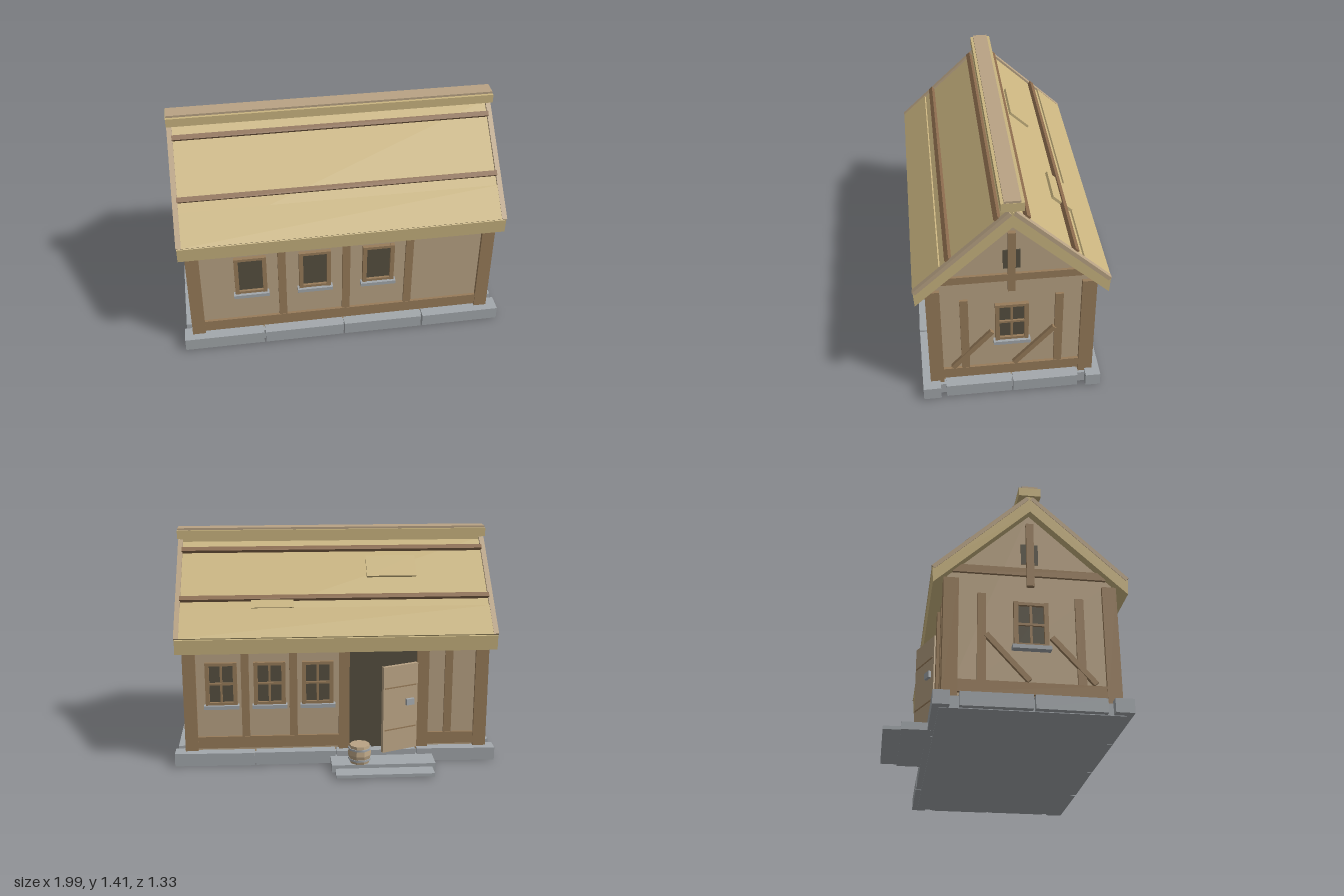
import * as THREE from 'three';

const mat = (name, color) => {
  const m = new THREE.MeshStandardMaterial({ color });
  m.name = name;
  return m;
};

export function createModel() {
  const plaster = mat('plaster', 0xb9a384);
  const wood = mat('timber', 0x987c5a);
  const thatch = mat('thatch', 0xcab580);
  const stone = mat('stone', 0xa3a8ac);
  const dark = mat('dark opening', 0x565040);
  const batten = mat('batten wood', 0x8a6a4c);
  const house = new THREE.Group();
  house.name = 'cottage';

  // Box given by its extents on each axis
  const box = (name, m, [x0, x1], [y0, y1], [z0, z1], parent = house) => {
    const b = new THREE.Mesh(new THREE.BoxGeometry(x1 - x0, y1 - y0, z1 - z0), m);
    b.position.set((x0 + x1) / 2, (y0 + y1) / 2, (z0 + z1) / 2);
    b.name = name;
    parent.add(b);
    return b;
  };
  // Profile of [z, y] points extruded along x
  const extrudeX = (name, m, pts, x0, x1) => {
    const shape = new THREE.Shape(pts.map(([z, y]) => new THREE.Vector2(-z, y)));
    const g = new THREE.ExtrudeGeometry(shape, { depth: x1 - x0, bevelEnabled: false });
    g.rotateY(Math.PI / 2);
    const e = new THREE.Mesh(g, m);
    e.position.x = x0;
    e.name = name;
    house.add(e);
  };

  // Foundation slab and slightly uneven edge stones
  box('foundation', stone, [-0.95, 0.95], [0, 0.07], [-0.39, 0.61]);
  const edgeStone = (x, z, i) => {
    const s = box('edgeStone', stone, x, [0.004, 0.085], z);
    s.rotation.set(0, Math.sin(i * 2.3) * 0.012, Math.sin(i * 4.1) * 0.008);
  };
  for (let i = 0; i < 4; i++) {
    const x = [-0.995 + i * 0.5, -0.505 + i * 0.5];
    edgeStone(x, [0.54, 0.645], i);
    edgeStone(x, [-0.425, -0.335], i + 5);
  }
  for (const s of [-1, 1]) {
    [[0.115, 0.505], [-0.285, 0.105]].forEach((z, i) =>
      edgeStone(s < 0 ? [-0.985, -0.86] : [0.86, 0.985], z, i + 10 + s));
  }

  // Steps at the door
  box('upperStep', stone, [-0.6, 0.035], [0.005, 0.05], [-0.57, -0.4]);
  box('lowerStep', stone, [-0.58, 0.015], [0.008, 0.028], [-0.67, -0.55]);

  // Plaster walls with gables
  extrudeX('walls', plaster, [[0.575, 0.05], [0.575, 0.83], [0.107, 1.26], [-0.36, 0.83], [-0.36, 0.05]], -0.925, 0.91);

  // Corner posts
  for (const x of [[-0.945, -0.865], [0.853, 0.932]]) {
    box('cornerPost', wood, x, [0.06, 0.785], [0.515, 0.597]);
    box('cornerPost', wood, x, [0.06, 0.785], [-0.38, -0.295]);
  }

  // Front and back sills and studs
  box('frontSill', wood, [-0.87, 0.86], [0.1, 0.175], [0.56, 0.592]);
  box('backSill', wood, [-0.06, 0.86], [0.1, 0.175], [-0.376, -0.35]);
  box('backSill', wood, [-0.87, -0.52], [0.1, 0.175], [-0.376, -0.35]);
  for (const x of [-0.375, 0.018, 0.408]) box('frontStud', wood, [x - 0.024, x + 0.024], [0.17, 0.72], [0.56, 0.589]);
  for (const x of [0.555, 0.26, -0.7]) box('backStud', wood, [x - 0.024, x + 0.024], [0.17, 0.74], [-0.374, -0.35]);

  // Window built facing +z, then placed and turned
  const windowUnit = (x, z, turn, bars) => {
    const w = new THREE.Group();
    w.name = 'window';
    box('pane', dark, [-0.08, 0.08], [0.395, 0.645], [0, 0.006], w);
    for (const s of [-1, 1]) box('frameSide', wood, s < 0 ? [-0.097, -0.072] : [0.072, 0.097], [0.385, 0.655], [-0.01, 0.025], w);
    box('frameTop', wood, [-0.085, 0.085], [0.635, 0.653], [-0.01, 0.022], w);
    box('frameBottom', wood, [-0.085, 0.085], [0.385, 0.402], [-0.01, 0.022], w);
    box('windowSill', stone, [-0.108, 0.108], [0.362, 0.385], [-0.01, 0.04], w);
    if (bars) {
      box('uprightBar', wood, [-0.007, 0.007], [0.395, 0.645], [0, 0.014], w);
      box('crossBar', wood, [-0.085, 0.085], [0.512, 0.526], [0, 0.018], w);
    }
    w.position.set(x, 0, z);
    w.rotation.y = turn;
    house.add(w);
  };
  for (const x of [-0.565, -0.175, 0.215]) windowUnit(x, 0.576, 0, false);
  for (const x of [0.7, 0.405, 0.11]) windowUnit(x, -0.361, Math.PI, true);

  // Gable end framing, the same at both ends
  for (const s of [-1, 1]) {
    const wall = s < 0 ? -0.925 : 0.91;
    const out = (d) => (s < 0 ? [wall - d, wall + 0.02] : [wall - 0.02, wall + d]);
    windowUnit(wall + s * 0.001, 0.107, s * Math.PI / 2, true);
    box('endSill', wood, out(0.017), [0.1, 0.172], [-0.3, 0.52]);
    box('tieBeam', wood, out(0.016), [0.828, 0.877], [-0.33, 0.54]);
    box('kingPost', wood, out(0.026), [0.76, 1.17], [0.087, 0.13]);
    box('gableOpening', dark, out(0.005), [0.91, 1.04], [0.058, 0.156]);
    for (const z of [0.382, -0.167]) box('endStud', wood, out(0.015), [0.17, 0.7], [z - 0.024, z + 0.024]);
    for (const z of [0.34, -0.025]) {
      const b = box('brace', wood, out(0.022), [0.3, 0.33], [z - 0.178, z + 0.178]);
      b.position.y = 0.315;
      b.rotation.x = 0.845;
    }
  }

  // Doorway with jambs, and a door standing ajar
  box('doorway', dark, [-0.5, -0.06], [0.08, 0.74], [-0.366, -0.358]);
  box('doorJamb', wood, [-0.085, -0.02], [0.07, 0.76], [-0.385, -0.35]);
  box('doorJamb', wood, [-0.575, -0.5], [0.07, 0.76], [-0.385, -0.35]);
  const door = new THREE.Group();
  door.name = 'door';
  box('doorLeaf', plaster, [0, 0.24], [0.09, 0.64], [-0.012, 0.012], door);
  for (const y of [0.21, 0.47]) box('doorStrap', wood, [0.01, 0.16], [y, y + 0.045], [0.01, 0.022], door);
  for (const y of [0.23, 0.5]) box('doorLedge', wood, [0.01, 0.23], [y, y + 0.008], [-0.015, -0.01], door);
  box('doorHandle', stone, [0.03, 0.085], [0.38, 0.42], [-0.03, -0.01], door);
  door.position.set(-0.5, 0, -0.383);
  door.rotation.y = 0.4;
  house.add(door);

  // Barrel on the step
  const barrel = new THREE.Group();
  barrel.name = 'barrel';
  const rings = [[0, 0], [0.06, 0], [0.073, 0.055], [0.062, 0.115], [0, 0.115]].map((p) => new THREE.Vector2(...p));
  const bodyGeo = new THREE.LatheGeometry(rings, 9).toNonIndexed();
  bodyGeo.computeVertexNormals();
  const body = new THREE.Mesh(bodyGeo, plaster);
  body.name = 'barrelBody';
  barrel.add(body);
  for (const y of [0.025, 0.092]) {
    const hoop = new THREE.Mesh(new THREE.CylinderGeometry(0.071, 0.071, 0.012, 9), stone);
    hoop.position.y = y;
    hoop.name = 'barrelHoop';
    barrel.add(hoop);
  }
  barrel.position.set(-0.138, 0.05, -0.515);
  house.add(barrel);

  // Thatched roof: a chevron slab
  const ridgeZ = 0.107, ridgeY = 1.333, slope = 0.935, angle = Math.atan(slope);
  extrudeX('roof', thatch, [[0.66, 0.818], [0.655, 0.728], [ridgeZ, 1.235], [-0.441, 0.728], [-0.446, 0.818], [ridgeZ, ridgeY]], -0.98, 0.967);

  // Plate lying on the roof between two distances from the ridge
  const onRoof = (name, m, side, x, d0, d1, low, high) => {
    const length = (d1 - d0) / Math.cos(angle);
    const p = new THREE.Mesh(new THREE.BoxGeometry(x[1] - x[0], high - low, length), m);
    const d = (d0 + d1) / 2, h = (low + high) / 2;
    p.position.set((x[0] + x[1]) / 2, ridgeY - slope * d + h * Math.cos(angle), ridgeZ + side * (d + h * Math.sin(angle)));
    p.rotation.x = side * angle;
    p.name = name;
    house.add(p);
  };
  for (const side of [-1, 1]) {
    onRoof('eaveCourse', thatch, side, [-0.975, 0.962], 0.395, 0.548, -0.01, 0.012);
    for (const d of [0.072, 0.342]) onRoof('roofBatten', batten, side, [-0.957, 0.945], d - 0.011, d + 0.011, -0.005, 0.026);
    for (const x of [[-0.983, -0.952], [0.94, 0.97]]) onRoof('vergeBoard', plaster, side, x, 0.01, 0.548, -0.01, 0.014);
  }
  // Repair patches on the back slope
  onRoof('roofPatch', thatch, -1, [-0.52, -0.21], 0.115, 0.23, -0.005, 0.016);
  onRoof('roofPatch', thatch, -1, [0.25, 0.51], 0.28, 0.395, -0.005, 0.018);

  // Ridge cap
  box('ridgeCap', thatch, [-0.983, 0.972], [1.342, 1.395], [0.043, 0.172]);
  box('ridgeCore', thatch, [-0.97, 0.96], [1.3, 1.35], [0.09, 0.125]);
  box('ridgePlank', plaster, [-0.98, 0.97], [1.39, 1.408], [0.062, 0.155]);

  return house;
}
